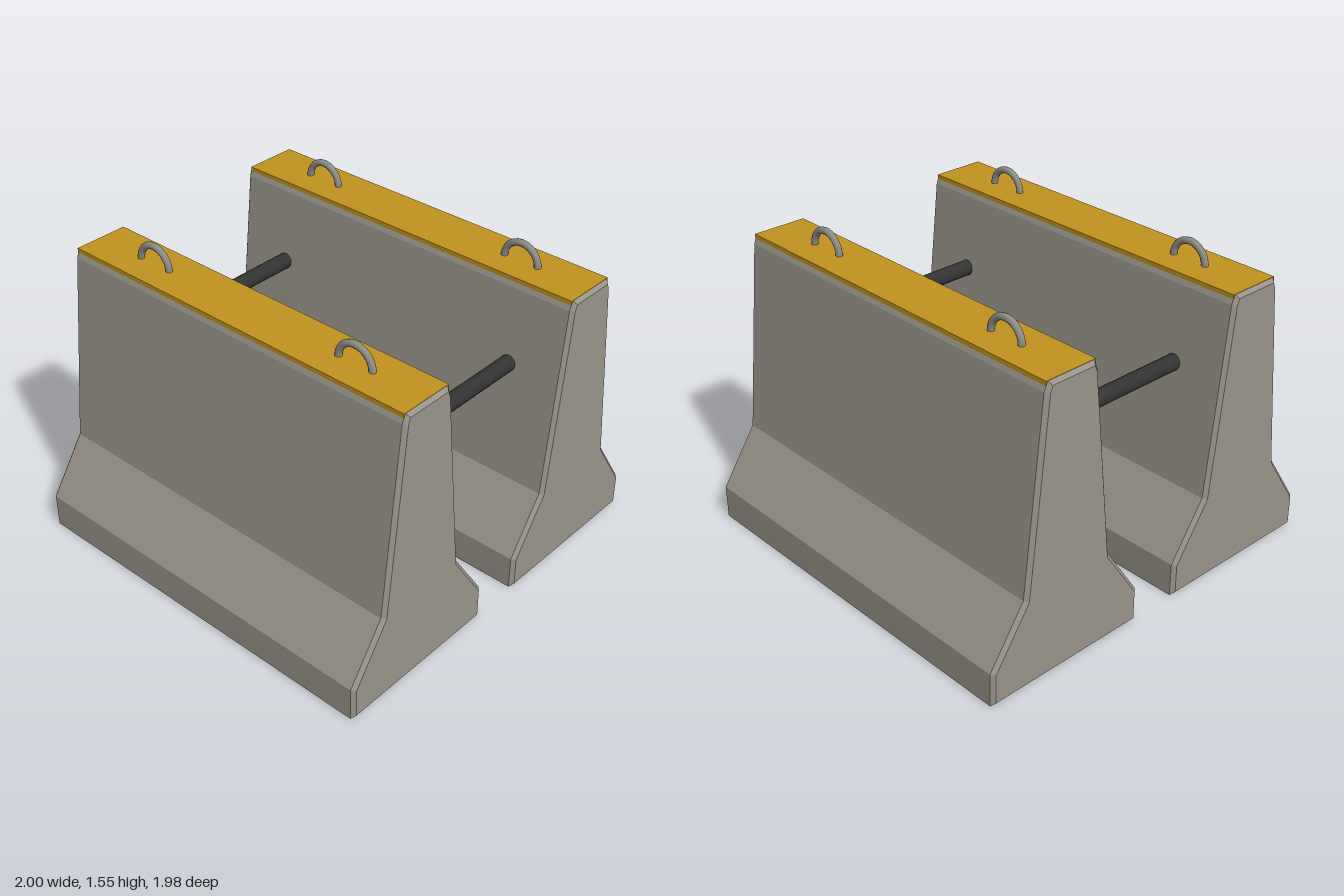
import * as THREE from 'three';

const material = (name, color) => {
  const m = new THREE.MeshStandardMaterial({ color });
  m.name = name;
  return m;
};

export function createModel() {
  const concrete = material('concrete', 0x98948a);
  const yellow = material('yellow paint', 0xc0921f);
  const steel = material('steel', 0x8c8d86);
  const darkSteel = material('dark steel', 0x333333);

  const model = new THREE.Group();
  model.name = 'barriers';

  const add = (parent, name, geometry, mat, x, y, z) => {
    const mesh = new THREE.Mesh(geometry, mat);
    mesh.name = name;
    mesh.position.set(x, y, z);
    parent.add(mesh);
    return mesh;
  };

  // Stepped barrier cross-section, mirrored about its centre
  const half = [[0.438, 0], [0.438, 0.17], [0.25, 0.45], [0.147, 1.395], [0.13, 1.44]];
  const outline = [...half, ...half.map(([x, y]) => [-x, y]).reverse()];
  const shape = new THREE.Shape(outline.map(([x, y]) => new THREE.Vector2(x, y)));
  const bevel = 0.018;
  const length = 1.98;
  const bodyGeometry = new THREE.ExtrudeGeometry(shape, {
    depth: length - 2 * bevel,
    bevelThickness: bevel,
    bevelSize: bevel,
    bevelOffset: -bevel,
    bevelSegments: 1,
  });
  bodyGeometry.translate(0, 0, -length / 2 + bevel);

  const stripeGeometry = new THREE.BoxGeometry(0.276, 0.026, 1.946);
  const loopGeometry = new THREE.TorusGeometry(0.092, 0.017, 10, 20, Math.PI);
  loopGeometry.rotateY(Math.PI / 2);

  for (const side of [-1, 1]) {
    const barrier = new THREE.Group();
    barrier.name = side < 0 ? 'rightBarrier' : 'leftBarrier';
    barrier.position.x = side * 0.562;
    model.add(barrier);
    add(barrier, 'body', bodyGeometry, concrete, 0, 0, 0);
    // Painted cap along the top edge
    add(barrier, 'topStripe', stripeGeometry, yellow, 0, 1.428, 0);
    // Lifting loops
    for (const z of [-0.6, 0.6]) add(barrier, 'liftingLoop', loopGeometry, steel, 0, 1.44, z);
  }

  // Bars joining the two barriers
  const barGeometry = new THREE.CylinderGeometry(0.04, 0.04, 0.76, 16);
  barGeometry.rotateZ(Math.PI / 2);
  for (const z of [-0.7, 0.7]) add(model, 'connectingBar', barGeometry, darkSteel, 0, 1.027, z);

  return model;
}
